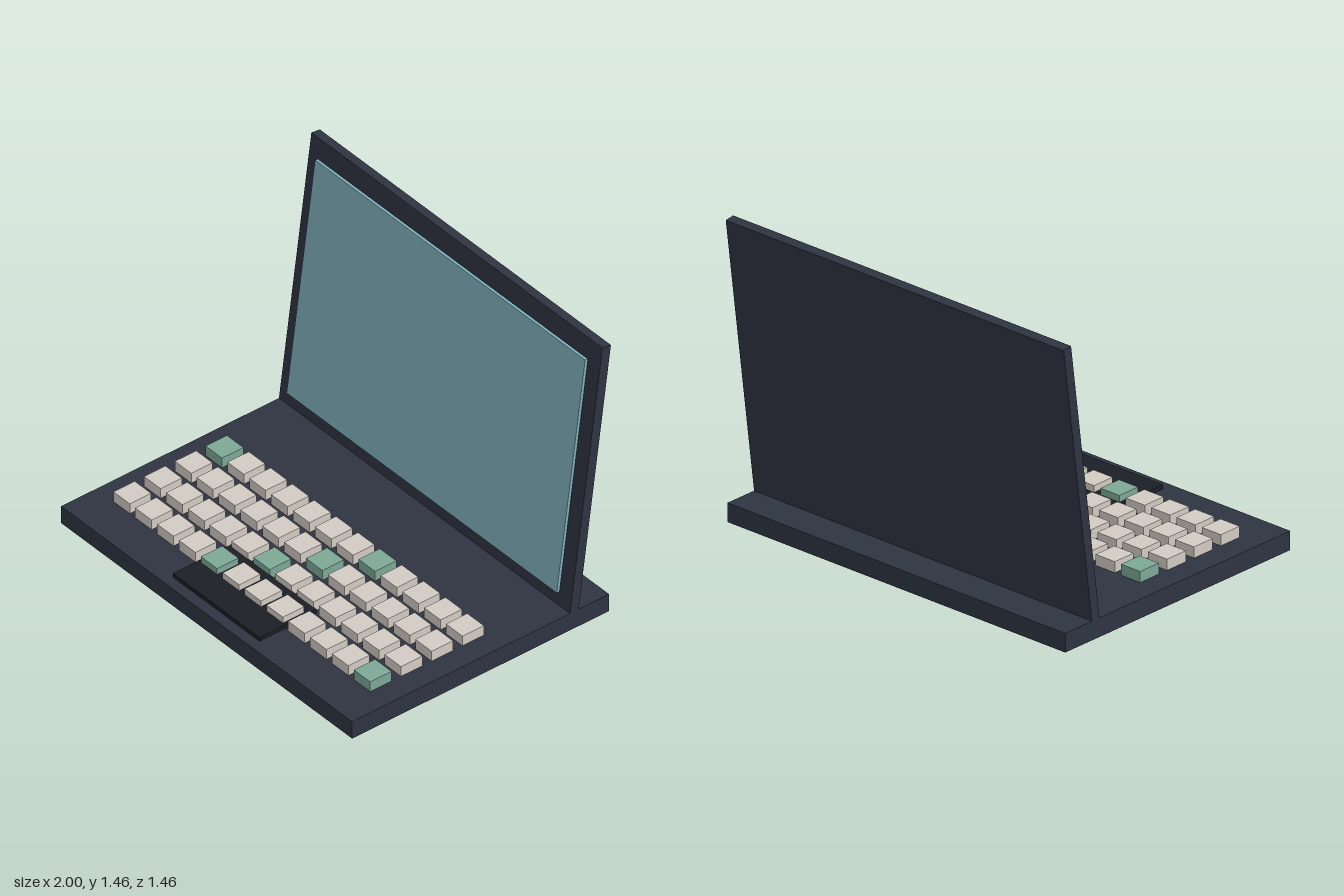
import * as THREE from 'three';

const paint = (color) => new THREE.MeshStandardMaterial({ color });

function box(name, [w, h, d], [x, y, z], material) {
  const mesh = new THREE.Mesh(new THREE.BoxGeometry(w, h, d), material);
  mesh.name = name;
  mesh.position.set(x, y, z);
  return mesh;
}

export function createModel() {
  const model = new THREE.Group();
  model.name = 'laptop';

  const shell = paint(0x2f3442);
  const glass = paint(0x7fb0bc);
  const cream = paint(0xd2cbc2);
  const green = paint(0x7da896);
  const dark = paint(0x1c1f26);

  // Flat base
  const baseTop = 0.092;
  model.add(box('base', [2, baseTop, 1.446], [0, baseTop / 2, 0.004], shell));

  // Touch pad, tucked under the front row of keys
  model.add(box('touchPad', [0.595, 0.021, 0.32], [0, baseTop + 0.0105, 0.513], dark));

  // Keyboard: four rows of twelve, with a diagonal of accent keys and two corners
  const keyboard = new THREE.Group();
  keyboard.name = 'keyboard';
  const rows = 4, columns = 12;
  for (let row = 0; row < rows; row++) {
    for (let column = 0; column < columns; column++) {
      const index = row * columns + column;
      const accent = index === 0 || index === rows * columns - 1 || row + column === 7 && row === 0
        || index % 11 === 7;
      const x = (column - (columns - 1) / 2) * 0.1502;
      const z = -0.05 + row * 0.173;
      keyboard.add(box(accent ? 'accentKey' : 'key', [0.113, 0.053, 0.12],
        [x, baseTop + 0.0265, z], accent ? green : cream));
    }
  }
  model.add(keyboard);

  // Lid leaning back; its origin is where the front face meets the base
  const lid = new THREE.Group();
  lid.name = 'lid';
  lid.position.set(0, baseTop, -0.499);
  lid.rotation.x = -0.133;
  const sunk = 0.03, lidHeight = 1.378;
  lid.add(box('lidPanel', [2, lidHeight + sunk, 0.048], [0, (lidHeight - sunk) / 2, -0.024], shell));

  // Screen floats just in front of the lid
  lid.add(box('screen', [1.856, 1.209, 0.016], [0, 0.6795, 0.018], glass));
  model.add(lid);

  return model;
}
